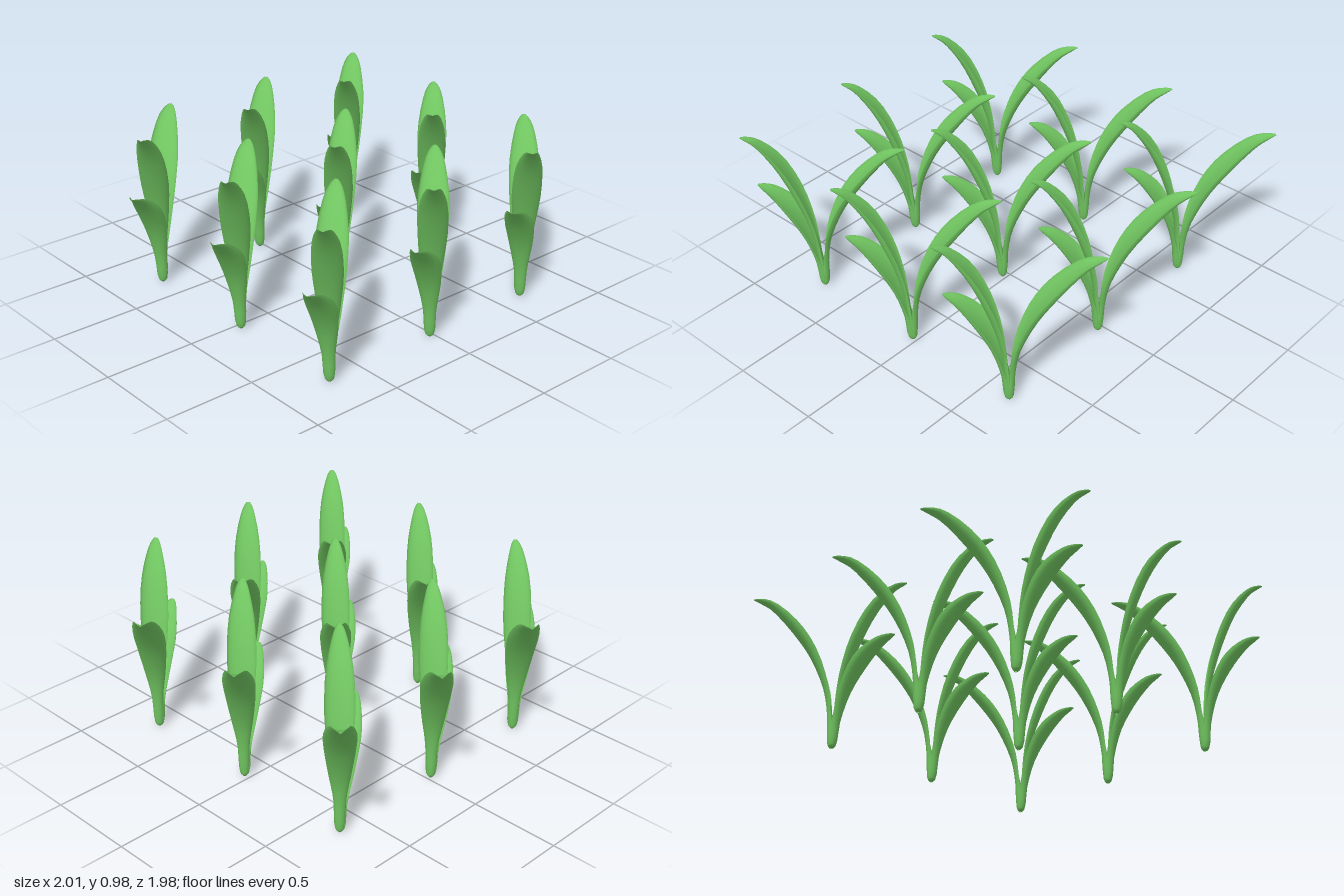
import * as THREE from 'three';

const RINGS = 22, ARC = 10;

// Leaf in its own plane: points are [outward reach, height, half width].
// The cross-section is round at the root and opens into a channel in the blade.
function leafGeometry(points) {
  const curve = new THREE.CatmullRomCurve3(points.map(p => new THREE.Vector3(...p)));
  const pos = [], index = [];
  for (const side of ['outer', 'inner']) {
    const start = pos.length / 3;
    for (let i = 0; i <= RINGS; i++) {
      const t = i / RINGS;
      const p = curve.getPoint(t), tan = curve.getTangent(t);
      const len = Math.hypot(tan.x, tan.y) || 1;
      const nx = -tan.y / len, ny = tan.x / len;
      const w = Math.max(p.z, 0.002);
      const blade = THREE.MathUtils.smoothstep(p.y, 0.03, 0.35);
      const depth = side === 'outer'
        ? THREE.MathUtils.lerp(-0.9, -0.6, blade)
        : THREE.MathUtils.lerp(0.7, -0.38, blade);
      for (let j = 0; j <= ARC; j++) {
        const a = -Math.PI / 2 + Math.PI * j / ARC;
        const n = depth * w * Math.cos(a);
        pos.push(p.x + nx * n, Math.max(0, p.y + ny * n), w * Math.sin(a));
      }
    }
    for (let i = 0; i < RINGS; i++) {
      for (let j = 0; j < ARC; j++) {
        const a = start + i * (ARC + 1) + j, b = a + ARC + 1;
        if (side === 'outer') index.push(a, b, a + 1, b, b + 1, a + 1);
        else index.push(a, a + 1, b, b, a + 1, b + 1);
      }
    }
  }
  const geo = new THREE.BufferGeometry();
  geo.setAttribute('position', new THREE.Float32BufferAttribute(pos, 3));
  geo.setIndex(index);
  geo.computeVertexNormals();
  return geo;
}

export function createModel() {
  const leafGreen = new THREE.MeshStandardMaterial({ color: 0x70c460, side: THREE.DoubleSide });
  leafGreen.name = 'leaf green';

  // Each leaf: name, horizontal direction [x, z] and profile
  const leaves = [
    ['broadBackLeaf', [-1, -1], [
      [0, 0, 0.008], [0, 0.02, 0.022], [0.008, 0.2, 0.032], [0.03, 0.36, 0.056], [0.1, 0.55, 0.077],
      [0.2, 0.70, 0.08], [0.35, 0.84, 0.05], [0.43, 0.87, 0.024], [0.465, 0.875, 0.006]]],
    ['tallFrontLeaf', [1, 1], [
      [0, 0, 0.008], [0, 0.02, 0.022], [0.008, 0.22, 0.03], [0.03, 0.42, 0.055], [0.085, 0.63, 0.075],
      [0.18, 0.83, 0.067], [0.29, 0.95, 0.036], [0.345, 0.975, 0.018], [0.368, 0.98, 0.006]]],
    ['shortFrontLeaf', [0.17, 0.28], [
      [0, 0, 0.008], [0.002, 0.02, 0.024], [0.015, 0.17, 0.036], [0.06, 0.36, 0.066], [0.14, 0.51, 0.077],
      [0.24, 0.6, 0.05], [0.3, 0.625, 0.025], [0.328, 0.63, 0.006]]],
  ].map(([name, dir, points]) => ({
    name, turn: Math.atan2(-dir[1], dir[0]), geo: leafGeometry(points),
  }));

  // Three by three patch of identical plants
  const model = new THREE.Group();
  model.name = 'plantPatch';
  for (let row = -1; row <= 1; row++) {
    for (let col = -1; col <= 1; col++) {
      const plant = new THREE.Group();
      plant.name = 'plant';
      plant.position.set(0.033 + col * 0.705, 0, 0.024 + row * 0.68);
      for (const leaf of leaves) {
        const mesh = new THREE.Mesh(leaf.geo, leafGreen);
        mesh.name = leaf.name;
        mesh.rotation.y = leaf.turn;
        plant.add(mesh);
      }
      model.add(plant);
    }
  }
  return model;
}
